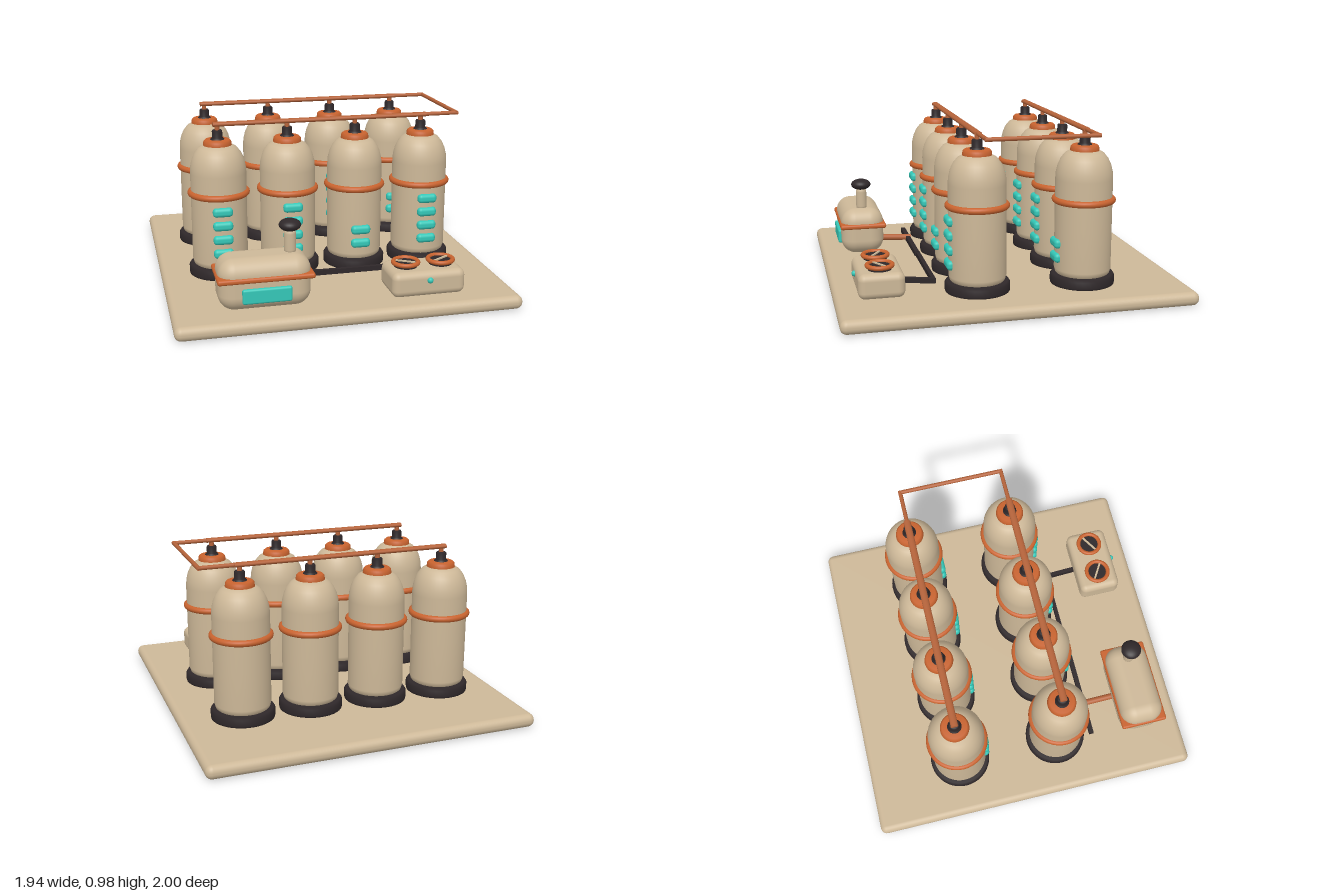
import * as THREE from 'three';
import { RoundedBoxGeometry } from 'three/addons/geometries/RoundedBoxGeometry.js';

const mat = (name, color, side = THREE.FrontSide) => {
  const m = new THREE.MeshStandardMaterial({ color, side });
  m.name = name;
  return m;
};

export function createModel() {
  const cream = mat('cream', 0xcdb898);
  const orange = mat('orange', 0xc8632f);
  const copper = mat('copper', 0xb5633a);
  const dark = mat('dark', 0x2f282a);
  const teal = mat('teal', 0x35c8b8);
  const model = new THREE.Group();
  model.name = 'tankStation';

  const add = (parent, name, geometry, material, x = 0, y = 0, z = 0) => {
    const mesh = new THREE.Mesh(geometry, material);
    mesh.name = name;
    mesh.position.set(x, y, z);
    parent.add(mesh);
    return mesh;
  };
  const rbox = (w, h, d, r, s = 4) => new RoundedBoxGeometry(w, h, d, s, r);
  const lathe = (pts) => new THREE.LatheGeometry(pts.map(([r, y]) => new THREE.Vector2(r, y)), 40);
  const ring = (R, r) => new THREE.TorusGeometry(R, r, 12, 40).rotateX(Math.PI / 2);

  // Straight round pipe between two points, with rounded joints when wanted
  const pipe = (name, a, b, r, material, squash = 1) => {
    const from = new THREE.Vector3(...a), to = new THREE.Vector3(...b);
    const dir = to.clone().sub(from);
    const mesh = add(model, name, new THREE.CylinderGeometry(r, r, dir.length(), 16), material);
    mesh.position.copy(from).add(to).multiplyScalar(0.5);
    mesh.quaternion.setFromUnitVectors(new THREE.Vector3(0, 1, 0), dir.normalize());
    mesh.scale.x = squash;
    return mesh;
  };

  // Base slab
  add(model, 'baseSlab', rbox(1.94, 0.08, 2, 0.038), cream, 0, 0.04, 0);

  // Tanks
  const footGeo = lathe([[0, 0.075], [0.182, 0.075], [0.185, 0.09], [0.185, 0.125], [0.175, 0.14], [0, 0.14]]);
  const bodyGeo = lathe([[0, 0.125], [0.14, 0.13], [0.156, 0.145], [0.163, 0.17], [0.163, 0.4], [0.163, 0.69],
    [0.16, 0.73], [0.15, 0.77], [0.134, 0.805], [0.11, 0.835], [0.08, 0.852], [0, 0.856]]);
  const capGeo = lathe([[0.07, 0.83], [0.08, 0.837], [0.083, 0.85], [0.08, 0.872], [0.07, 0.882], [0, 0.883]]);
  const nozzleGeo = lathe([[0.042, 0.88], [0.038, 0.888], [0.03, 0.893], [0.03, 0.93], [0.026, 0.937], [0, 0.937]]);
  const bandGeo = ring(0.163, 0.019);
  const lampGeo = rbox(0.115, 0.055, 0.05, 0.022);
  const riserGeo = new THREE.CylinderGeometry(0.014, 0.014, 0.045, 14);

  const columns = [-0.62, -0.21, 0.2, 0.61];
  const rows = [{ z: 0.2, lamps: [4, 4, 2, 4] }, { z: -0.42, lamps: [4, 4, 4, 2] }];
  for (const { z, lamps } of rows) {
    columns.forEach((x, i) => {
      const tank = new THREE.Group();
      tank.name = 'tank';
      tank.position.set(x, 0, z);
      model.add(tank);
      add(tank, 'tankFoot', footGeo, dark);
      add(tank, 'tankBody', bodyGeo, cream);
      add(tank, 'tankBand', bandGeo, orange, 0, 0.57, 0);
      add(tank, 'tankCap', capGeo, orange);
      add(tank, 'tankNozzle', nozzleGeo, dark);
      add(tank, 'tankRiser', riserGeo, copper, 0, 0.952, 0);
      for (let k = 0; k < lamps[i]; k++) {
        add(tank, 'levelLamp', lampGeo, teal, 0, 0.24 + k * 0.083, 0.158);
      }
    });
    // Header pipe along the row and its thin extension
    const header = pipe('headerPipe', [-0.645, 0.97, z], [0.64, 0.97, z], 0.021, copper);
    header.scale.x = 0.65;
    pipe('linkPipe', [0.62, 0.97, z], [0.845, 0.97, z], 0.012, copper);
  }
  pipe('crossLinkPipe', [0.838, 0.97, -0.43], [0.838, 0.97, 0.21], 0.012, copper);

  // Pump housing with flange, window and lever
  const pump = new THREE.Group();
  pump.name = 'pump';
  pump.position.set(-0.462, 0, 0.745);
  model.add(pump);
  add(pump, 'pumpHousing', rbox(0.51, 0.29, 0.265, 0.09, 6), cream, 0, 0.225, 0);
  add(pump, 'pumpFlange', rbox(0.53, 0.03, 0.285, 0.013), orange, 0, 0.265, 0);
  add(pump, 'pumpWindow', rbox(0.27, 0.085, 0.04, 0.012), teal, 0, 0.178, 0.13);
  add(pump, 'leverStem', new THREE.CapsuleGeometry(0.033, 0.09, 6, 20), cream, 0.152, 0.425, 0);
  add(pump, 'leverKnob', new THREE.SphereGeometry(0.061, 28, 16).scale(1, 0.56, 1), dark, 0.152, 0.518, 0);

  // Control box with two dials and a lamp
  const control = new THREE.Group();
  control.name = 'controlBox';
  control.position.set(0.457, 0, 0.742);
  model.add(control);
  add(control, 'controlHousing', rbox(0.425, 0.145, 0.26, 0.04), cream, 0, 0.15, 0);
  for (const side of [-1, 1]) {
    const x = side * 0.103;
    add(control, 'dialFace', new THREE.CylinderGeometry(0.066, 0.066, 0.03, 32), dark, x, 0.231, 0);
    add(control, 'dialRim', ring(0.07, 0.013), orange, x, 0.246, 0);
    const pointer = add(control, 'dialPointer', new THREE.BoxGeometry(0.115, 0.008, 0.012), cream, x, 0.249, 0);
    pointer.rotation.y = side * 0.55;
  }
  add(control, 'controlLamp', new THREE.SphereGeometry(0.017, 16, 12), teal, 0, 0.175, 0.13);

  // Floor hoses
  const hose = (name, a, b, w, material) => {
    const mid = a.map((v, i) => (v + b[i]) / 2);
    const len = Math.hypot(...a.map((v, i) => v - b[i]));
    const mesh = add(model, name, new THREE.BoxGeometry(w, 0.03, len), material, ...mid);
    mesh.lookAt(...b);
  };
  hose('mainHoseLeft', [-0.67, 0.105, 0.43], [-0.08, 0.105, 0.43], 0.028, dark);
  hose('mainHoseRight', [-0.1, 0.1, 0.424], [0.47, 0.1, 0.424], 0.024, dark);
  hose('controlHose', [0.457, 0.098, 0.414], [0.457, 0.12, 0.63], 0.026, dark);
  pipe('pumpPipe', [-0.465, 0.108, 0.41], [-0.465, 0.122, 0.64], 0.019, copper);

  return model;
}
